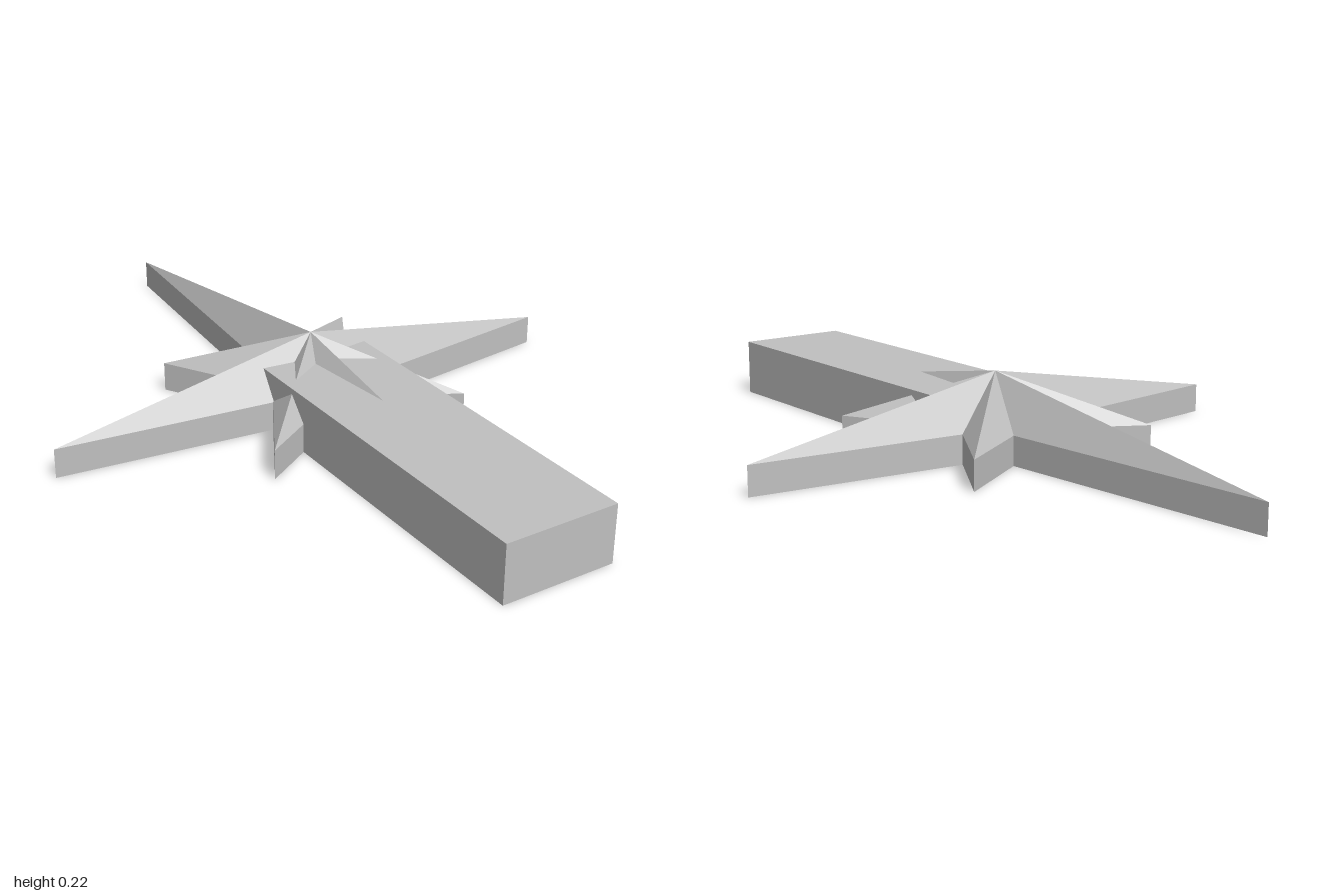
import * as THREE from 'three';

const RIM = 0.08, PEAK = 0.215, CENTRE_Z = -0.03;

// Eight-pointed star: upright rim, ridges and valleys rising to one peak
function starGeometry() {
  // Right half of the outline from back to front, relative to the centre
  const half = [
    [0, -0.97], [0.065, -0.16], [0.29, -0.29], [0.16, -0.07],
    [0.745, 0], [0.16, 0.07], [0.29, 0.295], [0.065, 0.16], [0, 0.79],
  ];
  const mirrored = half.slice(1, -1).reverse().map(([x, z]) => [-x, z]);
  const outline = [...half, ...mirrored];
  const pos = [];
  const tri = (...corners) => corners.forEach((c) => pos.push(...c));
  const peak = [0, PEAK, 0], foot = [0, 0, 0];
  outline.forEach(([ax, az], i) => {
    const [bx, bz] = outline[(i + 1) % outline.length];
    const a0 = [ax, 0, az], a1 = [ax, RIM, az];
    const b0 = [bx, 0, bz], b1 = [bx, RIM, bz];
    tri(peak, b1, a1); // sloping facet
    tri(a0, a1, b1); // rim wall
    tri(a0, b1, b0);
    tri(foot, a0, b0); // underside
  });
  const geo = new THREE.BufferGeometry();
  geo.setAttribute('position', new THREE.Float32BufferAttribute(pos, 3));
  geo.computeVertexNormals();
  return geo;
}

export function createModel() {
  const group = new THREE.Group();
  group.name = 'starOnBar';
  const grey = new THREE.MeshStandardMaterial({ color: 0xc0c0c0 });
  grey.name = 'light grey';

  const star = new THREE.Mesh(starGeometry(), grey);
  star.name = 'star';
  star.position.z = CENTRE_Z;

  // Long bar running forward from under the star
  const bar = new THREE.Mesh(new THREE.BoxGeometry(0.314, 0.157, 1.01), grey);
  bar.name = 'bar';
  bar.position.set(0, 0.0785, 0.495);

  group.add(star, bar);
  return group;
}
